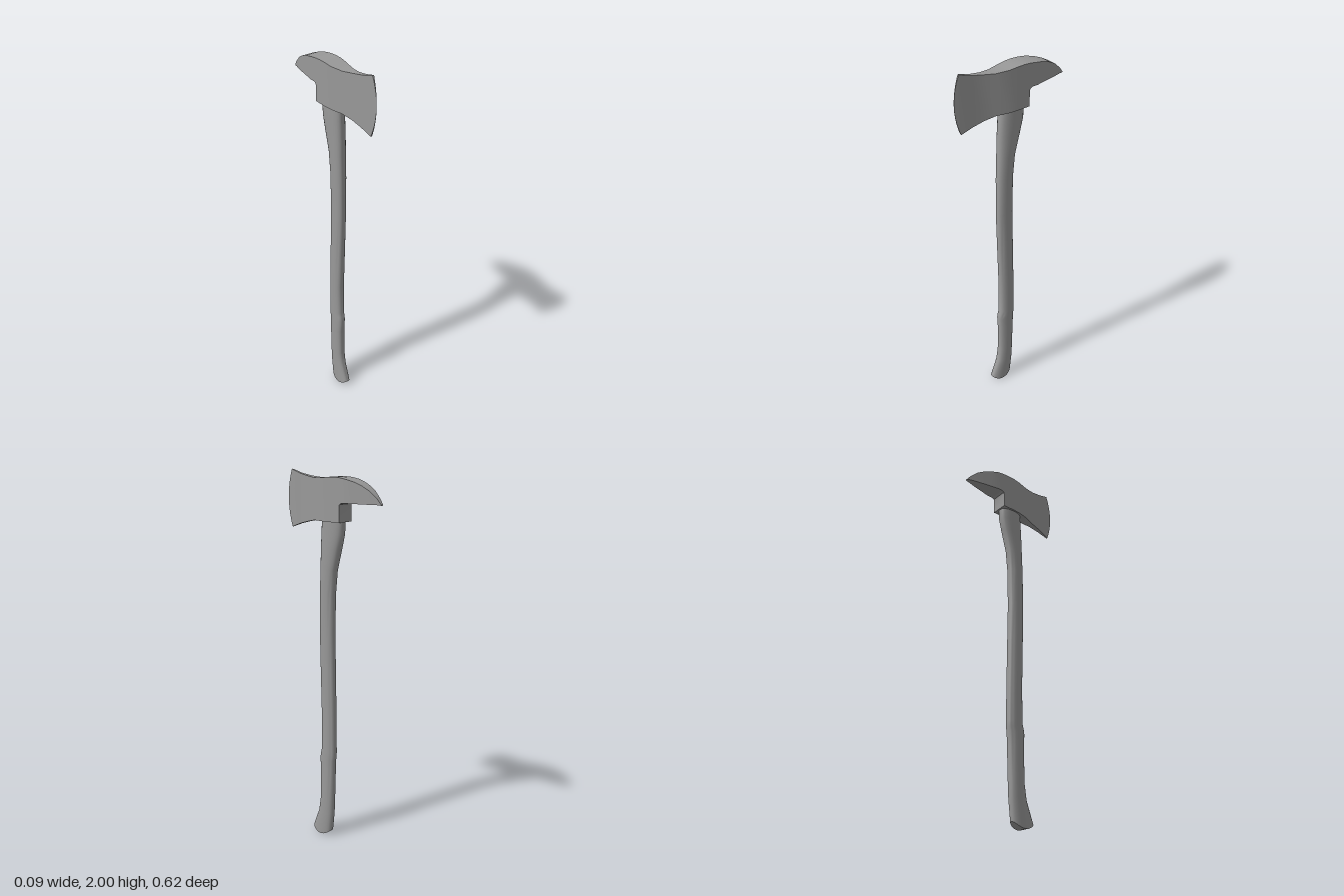
import * as THREE from 'three';
import { toCreasedNormals } from 'three/addons/utils/BufferGeometryUtils.js';

// Skins a row of rings; each ring is symmetric, so point j pairs with n-1-j on the caps.
function loft(rings, crease) {
  const n = rings[0].length, last = (rings.length - 1) * n, index = [];
  const quad = (a, b, c, d) => index.push(a, b, c, a, c, d);
  for (let i = 0; i < rings.length - 1; i++) {
    for (let j = 0; j < n; j++) {
      const k = (j + 1) % n;
      quad(i * n + j, i * n + k, (i + 1) * n + k, (i + 1) * n + j);
    }
  }
  for (let j = 0; j < n / 2 - 1; j++) {
    quad(n - 1 - j, n - 2 - j, j + 1, j);
    quad(last + j, last + j + 1, last + n - 2 - j, last + n - 1 - j);
  }
  const g = new THREE.BufferGeometry();
  g.setAttribute('position', new THREE.Float32BufferAttribute(rings.flat(2), 3));
  g.setIndex(index);
  return toCreasedNormals(g, crease);
}

export function createModel() {
  const group = new THREE.Group();
  const material = new THREE.MeshStandardMaterial({ color: 0x999999 });
  const add = (name, geometry) => {
    const mesh = new THREE.Mesh(geometry, material);
    mesh.name = name;
    group.add(mesh);
  };

  // Axe head stations, spike to blade: z, bottom y, top y, half width
  const stations = [
    [-0.31, 1.853, 1.857, 0.007],
    [-0.29, 1.855, 1.882, 0.012],
    [-0.25, 1.855, 1.918, 0.022],
    [-0.21, 1.855, 1.94, 0.03],
    [-0.17, 1.855, 1.956, 0.037],
    [-0.125, 1.855, 1.967, 0.046],
    [-0.095, 1.855, 1.972, 0.046],
    [-0.083, 1.848, 1.9735, 0.046],
    [-0.08, 1.835, 1.974, 0.046],
    [-0.08, 1.76, 1.974, 0.046],
    [-0.045, 1.76, 1.976, 0.046],
    [-0.01, 1.76, 1.975, 0.046],
    [0.035, 1.76, 1.97, 0.043],
    [0.1, 1.76, 1.967, 0.029],
    [0.16, 1.748, 1.974, 0.016],
    [0.22, 1.733, 1.985, 0.01],
  ];
  // Curved cutting edge: an arc closing on the blade's middle
  for (const s of [0.03, 0.022, 0.015, 0.009, 0.004, 0.001, 0.00005]) {
    const h = Math.sqrt(2 * 0.353 * s);
    stations.push([0.31 - s, 1.8575 - h, 1.8575 + h, 0.0003 + 0.13 * s]);
  }
  add('axeHead', loft(stations.map(([z, lo, hi, w]) =>
    [[w, lo, z], [w, hi, z], [-w, hi, z], [-w, lo, z]]), 0.4));

  // Handle sections: y, front z, back z, half width, rise of the rim towards front and back
  const sections = [
    [0, 0.138, 0.008, 0.03, 0.03],
    [0.138, 0.095, -0.003, 0.03, 0],
    [0.217, 0.083, -0.006, 0.03, 0],
    [0.387, 0.08, -0.011, 0.03, 0],
    [0.466, 0.084, -0.014, 0.03, 0],
    [0.492, 0.08, -0.018, 0.03, 0],
    [0.52, 0.073, -0.018, 0.03, 0],
    [0.705, 0.071, -0.016, 0.03, 0],
    [0.97, 0.078, -0.011, 0.03, 0],
    [1.18, 0.083, -0.007, 0.03, 0],
    [1.39, 0.08, -0.01, 0.032, 0],
    [1.515, 0.075, -0.022, 0.034, 0],
    [1.63, 0.071, -0.053, 0.036, 0],
    [1.7, 0.067, -0.07, 0.037, 0],
    [1.77, 0.063, -0.073, 0.037, 0],
  ];
  const sides = 24;
  add('handle', loft(sections.map(([y, front, back, w, rise]) =>
    Array.from({ length: sides }, (_, j) => {
      const t = Math.PI * (2 * j + 1) / sides + Math.PI / 2;
      const c = Math.cos(t), u = -Math.sin(t);
      // Slightly flattened sides
      const x = w * Math.sign(c) * Math.abs(c) ** 0.75;
      return [x, y + rise * u * u, (front + back) / 2 + u * (front - back) / 2];
    })), 0.7));

  return group;
}
